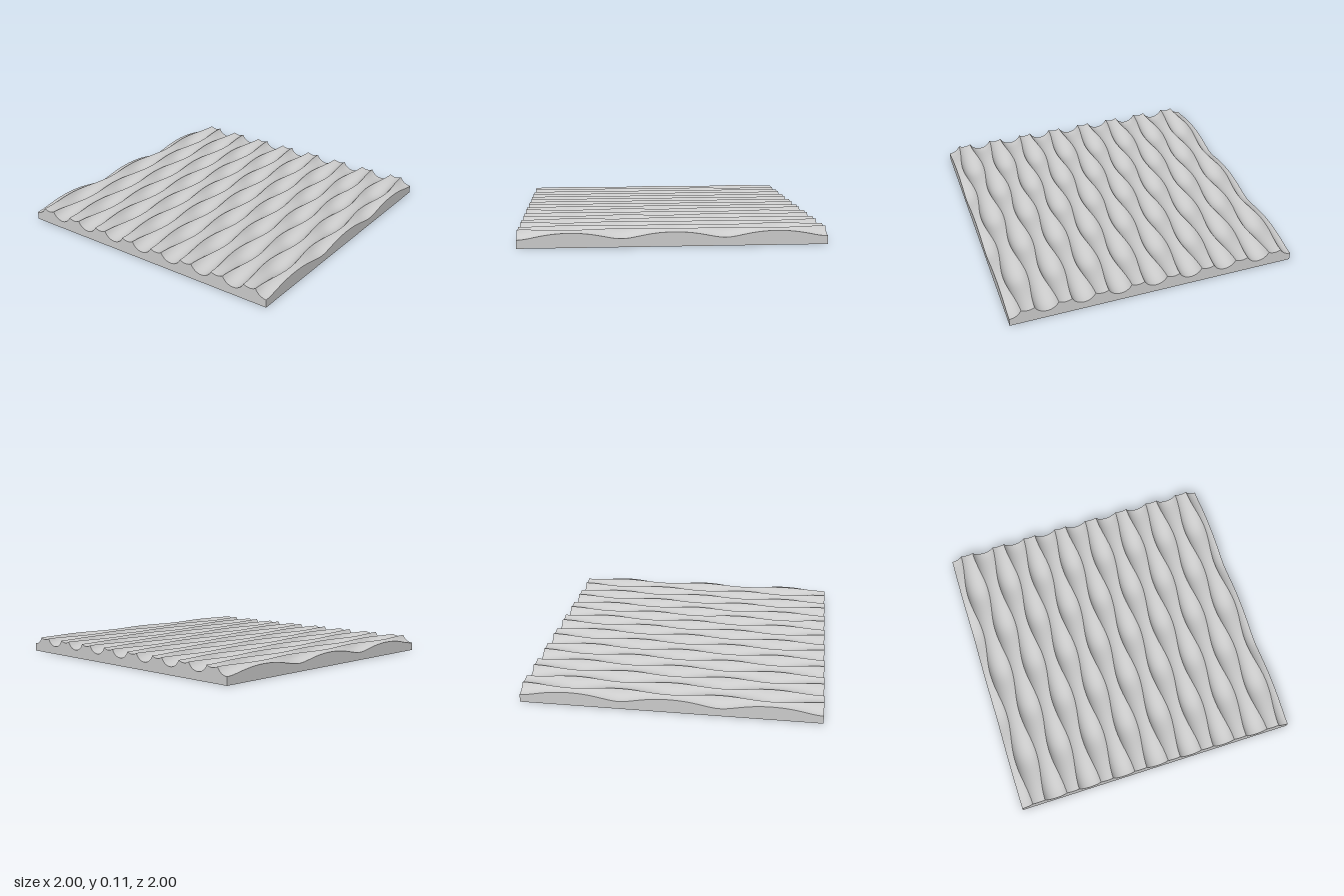
import * as THREE from 'three';

const TOP = 0.107;      // ridge height
const PITCH = 0.125;    // spacing of the flutes
const RADIUS = 0.0876;  // radius of every flute's round section
const ALONG = 120;      // segments along x

// Half-width of flute k at x: neighbours swell and narrow in opposite phase
const halfWidth = (k, x) =>
  PITCH / 2 - 0.0175 * Math.cos(3 * Math.PI * x) * (k % 2 === 0 ? 1 : -1);

// Point on flute k; s runs from -1 (back ridge) to 1 (front ridge)
function flutePoint(k, s, x) {
  const w = halfWidth(k, x);
  const drop = Math.sqrt(RADIUS ** 2 - (s * w) ** 2) - Math.sqrt(RADIUS ** 2 - w ** 2);
  return [x, TOP - drop, k * PITCH + s * w];
}

// Surface patch from a rule point(u, v) with u, v in 0..1; faces along du x dv
function patch(nu, nv, point) {
  const pos = [], index = [];
  for (let i = 0; i <= nu; i++)
    for (let j = 0; j <= nv; j++) pos.push(...point(i / nu, j / nv));
  for (let i = 0; i < nu; i++)
    for (let j = 0; j < nv; j++) {
      const a = i * (nv + 1) + j, b = a + nv + 1;
      index.push(a, b, b + 1, a, b + 1, a + 1);
    }
  const g = new THREE.BufferGeometry();
  g.setAttribute('position', new THREE.Float32BufferAttribute(pos, 3));
  g.setIndex(index);
  g.computeVertexNormals();
  return g;
}

export function createModel() {
  const group = new THREE.Group();
  group.name = 'wavyPanel';
  const material = new THREE.MeshStandardMaterial({ color: 0xcccccc });
  const add = (name, geometry) => {
    const mesh = new THREE.Mesh(geometry, material);
    mesh.name = name;
    group.add(mesh);
  };
  const toX = (t) => 2 * t - 1;
  const wall = ([x, y, z], t) => [x, y * t, z];

  for (let k = -8; k <= 8; k++) {
    // The outermost flutes are cut in half by the panel edge
    const s0 = k === -8 ? 0 : -1, s1 = k === 8 ? 0 : 1;
    const s = (t) => s0 + (s1 - s0) * t;
    const n = s1 - s0 === 2 ? 16 : 8;
    add('flute', patch(n, ALONG, (u, v) => flutePoint(k, s(u), toX(v))));
    // End walls below this flute
    add('leftEnd', patch(1, n, (u, v) => wall(flutePoint(k, s(v), 1), u)));
    add('rightEnd', patch(n, 1, (u, v) => wall(flutePoint(k, s(u), -1), v)));
  }

  // Front and back edges follow the half flutes
  add('frontEdge', patch(ALONG, 1, (u, v) => wall(flutePoint(8, 0, toX(u)), v)));
  add('backEdge', patch(1, ALONG, (u, v) => wall(flutePoint(-8, 0, toX(v)), u)));

  // Flat underside
  add('underside', patch(1, 1, (u, v) => [toX(u), 0, toX(v)]));
  return group;
}
